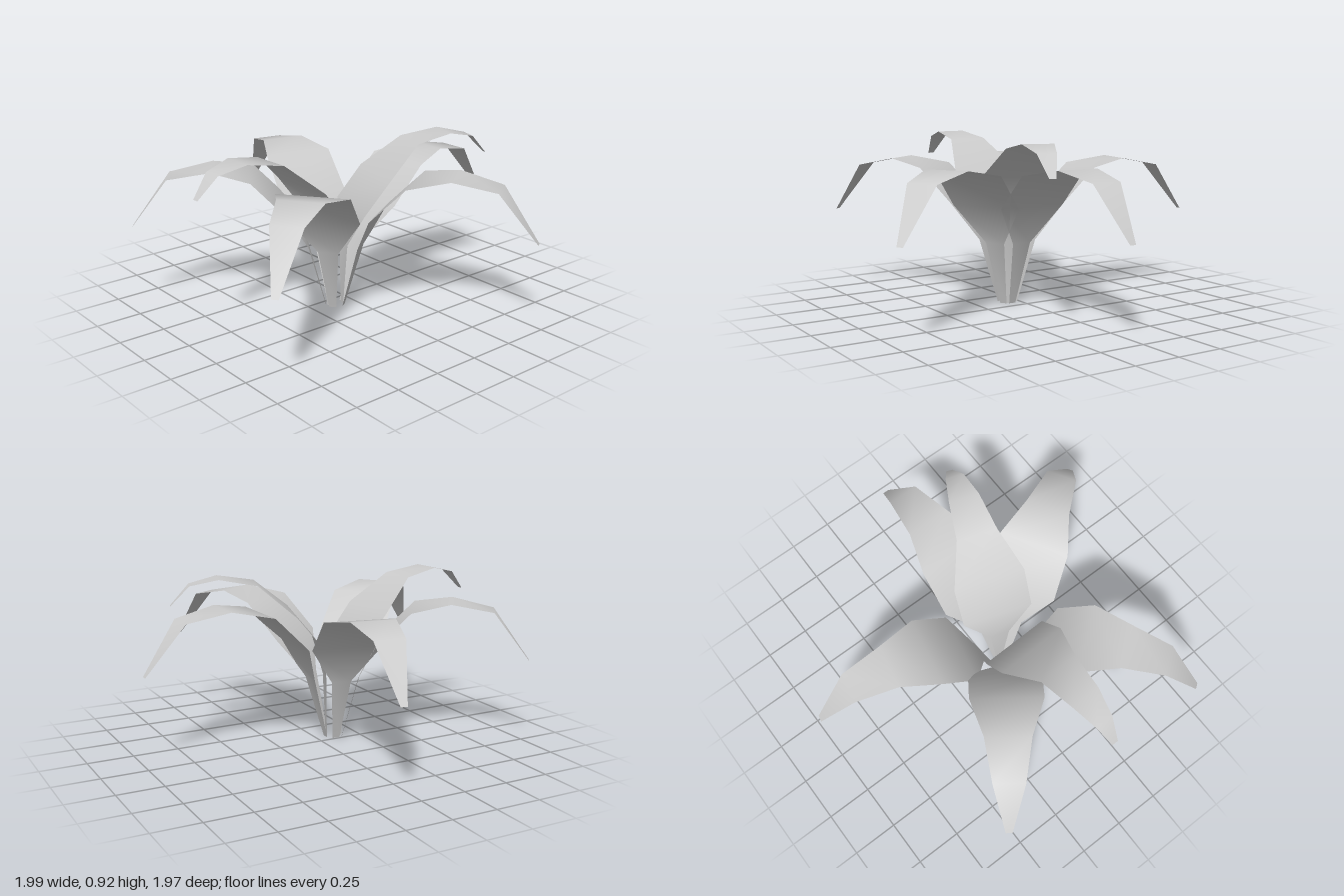
import * as THREE from 'three';

// Leaf rows from root to tip: [distance outward, height, width]
const LOW = [
  [0.05, 0, 0.04], [0.145, 0.35, 0.11], [0.25, 0.56, 0.39], [0.44, 0.75, 0.38],
  [0.65, 0.79, 0.24], [0.88, 0.745, 0.165], [1.08, 0.475, 0.035],
];
const TALL = [
  [0.04, 0, 0.04], [0.05, 0.35, 0.11], [0.09, 0.55, 0.385], [0.225, 0.72, 0.39],
  [0.42, 0.885, 0.22], [0.62, 0.92, 0.165], [0.77, 0.885, 0.1], [0.87, 0.775, 0.035],
];
const CENTRE = { x: 0.06, z: 0.11 };

// One flat, smooth-shaded strip running along +z
function leafGeometry(rows) {
  const positions = [], index = [];
  rows.forEach(([r, y, w], i) => {
    positions.push(-w / 2, y, r, w / 2, y, r);
    if (i) {
      const a = 2 * (i - 1);
      index.push(a, a + 2, a + 1, a + 1, a + 2, a + 3);
    }
  });
  const g = new THREE.BufferGeometry();
  g.setAttribute('position', new THREE.Float32BufferAttribute(positions, 3));
  g.setIndex(index);
  g.computeVertexNormals();
  return g;
}

export function createModel() {
  const plant = new THREE.Group();
  plant.name = 'plant';
  const material = new THREE.MeshStandardMaterial({ color: 0xcccccc, side: THREE.DoubleSide });

  // Each leaf points from the shared centre to its tip
  const leaves = [
    ['rightLeaf', LOW, -0.995, -0.105],
    ['leftLeaf', LOW, 0.985, -0.455],
    ['backLeaf', LOW, 0.057, -0.985],
    ['frontLeftLeaf', LOW, 0.7, 0.965],
    ['frontRightLeaf', LOW, -0.57, 0.97],
    ['tallFrontLeaf', TALL, 0.08, 0.97],
    ['tallBackLeaf', TALL, 0.335, -0.735],
  ];
  for (const [name, rows, tipX, tipZ] of leaves) {
    const dx = tipX - CENTRE.x, dz = tipZ - CENTRE.z;
    const stretch = Math.hypot(dx, dz) / rows[rows.length - 1][0];
    const leaf = new THREE.Mesh(leafGeometry(rows), material);
    leaf.name = name;
    leaf.position.set(CENTRE.x, 0, CENTRE.z);
    leaf.rotation.y = Math.atan2(dx, dz);
    leaf.scale.z = stretch;
    plant.add(leaf);
  }
  return plant;
}
